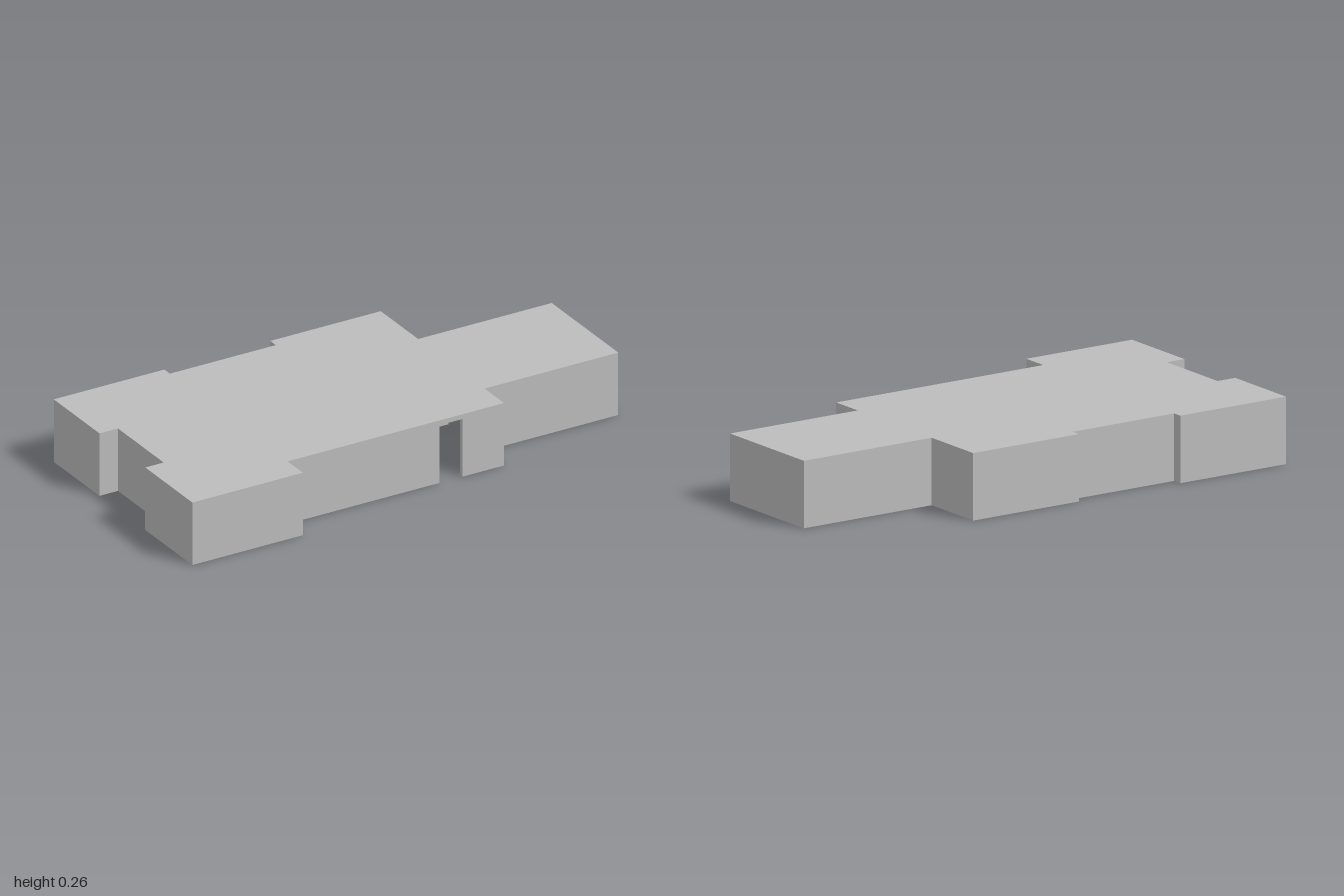
import * as THREE from 'three';

const T = 0.02;        // wall and roof thickness
const H = 0.26;        // total height
const WALL_H = H - T;  // doorways reach the underside of the roof

export function createModel() {
  const model = new THREE.Group();
  model.name = 'building';
  const plaster = new THREE.MeshStandardMaterial({ color: 0xbcbcbc });
  plaster.name = 'grey plaster';

  // Flat roof following the outline of the plan, as [x, z]
  const outline = [
    [-1, 0.5], [-0.52, 0.5], [-0.52, 0.39], [0.42, 0.39], [0.42, 0.25], [1, 0.25],
    [1, -0.23], [0.42, -0.23], [0.42, -0.5], [-0.06, -0.5], [-0.06, -0.46],
    [-0.52, -0.46], [-0.52, -0.5], [-1, -0.5], [-1, -0.17], [-0.92, -0.17],
    [-0.92, 0.16], [-1, 0.16],
  ];
  const shape = new THREE.Shape(outline.map(([x, z]) => new THREE.Vector2(x, -z)));
  const roofGeometry = new THREE.ExtrudeGeometry(shape, { depth: T, bevelEnabled: false });
  roofGeometry.rotateX(-Math.PI / 2);
  const roof = new THREE.Mesh(roofGeometry, plaster);
  roof.name = 'roof';
  roof.position.y = WALL_H;
  model.add(roof);

  const outer = new THREE.Group();
  outer.name = 'outerWalls';
  const inner = new THREE.Group();
  inner.name = 'innerWalls';
  model.add(outer, inner);

  const wall = (group, x0, x1, z0, z1) => {
    const mesh = new THREE.Mesh(new THREE.BoxGeometry(x1 - x0, WALL_H, z1 - z0), plaster);
    mesh.name = 'wall';
    mesh.position.set((x0 + x1) / 2, WALL_H / 2, (z0 + z1) / 2);
    group.add(mesh);
  };
  // Walls along x: [lower z, x start, x end]
  const alongX = (group, list) => list.forEach(([z, a, b]) => wall(group, a, b, z, z + T));
  // Walls along z: [lower x, z start, z end]
  const alongZ = (group, list) => list.forEach(([x, a, b]) => wall(group, x, x + T, a, b));

  // Outer walls, with the front doorway between x = 0.14 and 0.24
  alongX(outer, [
    [0.48, -1, -0.52], [0.37, -0.54, 0.14], [0.37, 0.24, 0.42], [0.23, 0.40, 1],
    [-0.23, 0.40, 1], [-0.5, -0.06, 0.42], [-0.46, -0.54, -0.04], [-0.5, -1, -0.52],
    [-0.19, -1, -0.90], [0.16, -1, -0.90],
  ]);
  alongZ(outer, [
    [-1, 0.16, 0.5], [-1, -0.5, -0.17], [-0.92, -0.19, 0.18], [-0.54, 0.37, 0.5],
    [0.40, 0.23, 0.39], [0.98, -0.23, 0.25], [0.40, -0.5, -0.21],
    [-0.06, -0.5, -0.44], [-0.54, -0.5, -0.44],
  ]);

  // Inner partitions with doorways between the pieces
  alongX(inner, [
    [-0.03, 0.33, 0.42], [-0.03, -0.06, 0.16],    // back room, front side
    [-0.24, -0.52, -0.04],                        // back middle room
    [0.06, -0.17, -0.04], [0.06, -0.52, -0.26],   // centre room, front side
    [0.15, -0.67, -0.50], [0.15, -0.92, -0.77],   // front corner room
  ]);
  alongZ(inner, [
    [0.40, 0.12, 0.25], [0.40, -0.23, -0.02],     // end room
    [-0.06, -0.46, -0.36], [-0.06, -0.26, 0.22], [-0.06, 0.34, 0.39],
    [-0.52, -0.24, 0.08], [-0.54, 0.08, 0.20], [-0.54, 0.31, 0.39],
    [-0.54, -0.31, -0.22], [-0.54, -0.46, -0.41],
  ]);
  return model;
}
